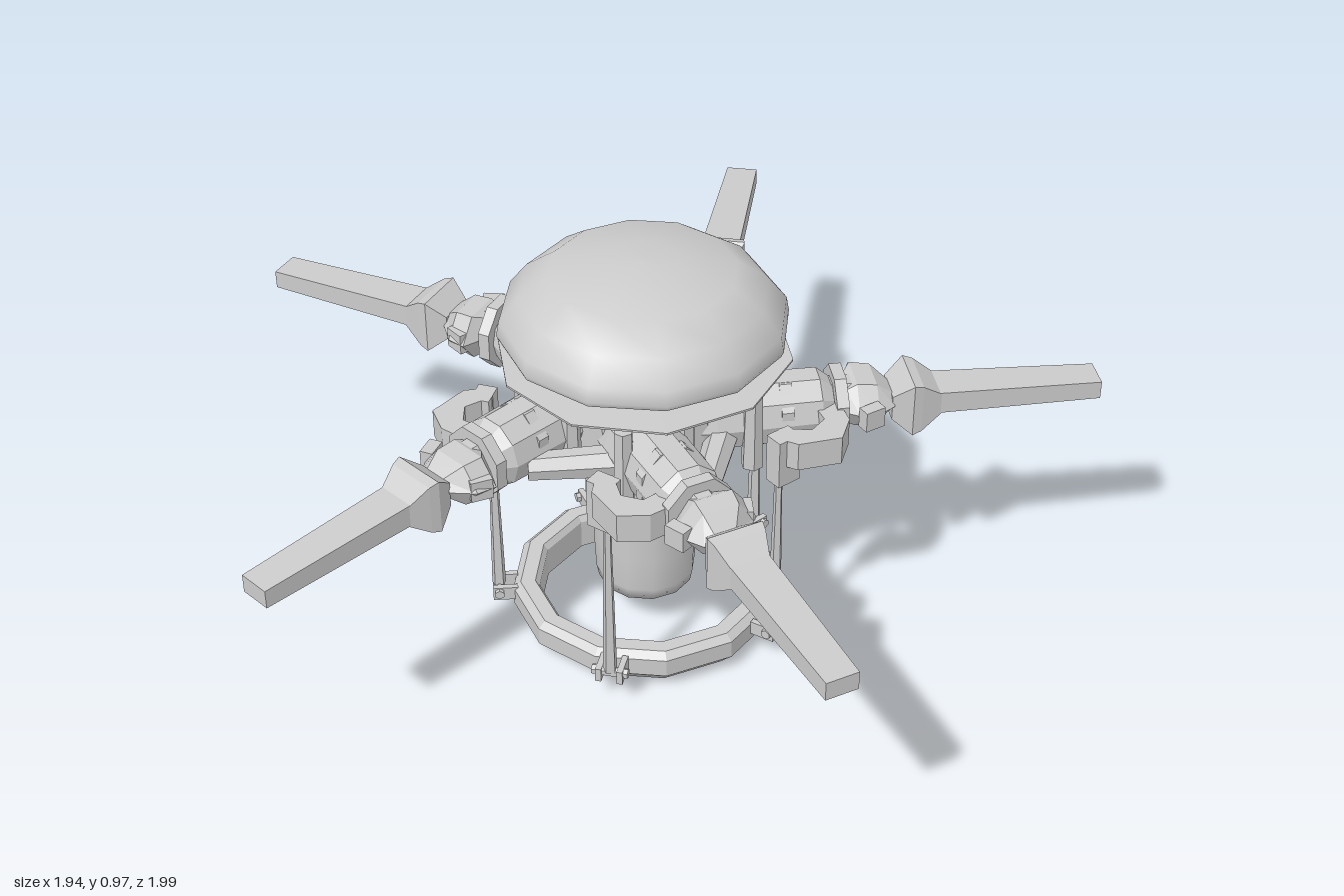
import * as THREE from 'three';

const flat = new THREE.MeshStandardMaterial({ color: 0xcccccc, flatShading: true });
const smooth = new THREE.MeshStandardMaterial({ color: 0xcccccc, side: THREE.DoubleSide });

function add(parent, name, geometry, x = 0, y = 0, z = 0, material = flat) {
  const mesh = new THREE.Mesh(geometry, material);
  mesh.name = name;
  mesh.position.set(x, y, z);
  parent.add(mesh);
  return mesh;
}

const lathe = (points, sides) =>
  new THREE.LatheGeometry(points.map(([r, y]) => new THREE.Vector2(r, y)), sides);

// Skins cross-sections [x, halfHeight, halfWidth, y, z] along x; four sides give a box, more an ellipse.
function loft(sections, sides = 4) {
  const k = sides === 4 ? Math.SQRT2 : 1;
  const rings = sections.map(([x, h, w, y = 0, z = 0]) =>
    Array.from({ length: sides }, (_, j) => {
      const a = ((j + 0.5) / sides) * Math.PI * 2;
      return [x, y + Math.cos(a) * h * k, z + Math.sin(a) * w * k];
    }));
  const pos = [];
  const tri = (...corners) => corners.forEach((c) => pos.push(...c));
  for (let i = 0; i < rings.length - 1; i++) {
    for (let j = 0; j < sides; j++) {
      const n = (j + 1) % sides;
      tri(rings[i][j], rings[i][n], rings[i + 1][n]);
      tri(rings[i][j], rings[i + 1][n], rings[i + 1][j]);
    }
  }
  const first = rings[0], last = rings[rings.length - 1];
  for (let j = 1; j < sides - 1; j++) {
    tri(first[0], first[j + 1], first[j]);
    tri(last[0], last[j], last[j + 1]);
  }
  const g = new THREE.BufferGeometry();
  g.setAttribute('position', new THREE.Float32BufferAttribute(pos, 3));
  g.computeVertexNormals();
  return g;
}

// Flat plate outlined in x and z, rising from y = 0
function plate(outline, height) {
  const shape = new THREE.Shape(outline.map(([x, z]) => new THREE.Vector2(x, -z)));
  return new THREE.ExtrudeGeometry(shape, { depth: height, bevelEnabled: false }).rotateX(-Math.PI / 2);
}

// One blade arm, running along +x and set off to the side of the mast
function bladeArm() {
  const arm = new THREE.Group();
  arm.name = 'bladeArm';
  const z = 0.085;

  add(arm, 'bladeSleeve', loft([
    [0.02, 0.07, 0.075], [0.14, 0.088, 0.085], [0.38, 0.085, 0.08], [0.41, 0.06, 0.06],
  ], 10), 0, 0.605, z);
  add(arm, 'sleeveNeck', loft([[0.38, 0.06, 0.05], [0.47, 0.055, 0.045]], 8), 0, 0.61, z);
  add(arm, 'bladeCuff', loft([
    [0.44, 0.05, 0.06], [0.465, 0.065, 0.09, 0, -0.015], [0.51, 0.06, 0.085, 0, -0.01], [0.55, 0.025, 0.05],
  ], 6), 0, 0.61, z);

  // Forked root and the stub of the blade
  add(arm, 'bladeRoot', loft([
    [0.545, 0.03, 0.045], [0.59, 0.066, 0.065], [0.612, 0.06, 0.06], [0.66, 0.026, 0.045],
  ]), 0, 0.602, z);
  add(arm, 'blade', loft([[0.64, 0.027, 0.046], [1.035, 0.022, 0.038, -0.012]]), 0, 0.605, z);

  // Clamp bands and bolts on the sleeve
  for (const x of [0.3, 0.425]) {
    add(arm, 'sleeveBand', loft([[x - 0.014, 0.088, 0.084], [x + 0.014, 0.088, 0.084]], 8), 0, 0.605, z);
  }
  for (const side of [-1, 1]) {
    add(arm, 'cuffLug', new THREE.BoxGeometry(0.05, 0.05, 0.03), 0.49, 0.61, z + side * 0.08)
      .rotation.y = side * 0.4;
    add(arm, 'hubBolt', new THREE.CylinderGeometry(0.022, 0.026, 0.2, 6), 0.22, 0.605, z + side * 0.075);
  }

  // Hooked pitch horn reaching over its control rod
  add(arm, 'pitchHorn', plate([
    [0.36, 0.12], [0.42, 0.13], [0.43, 0.2], [0.4, 0.265], [0.3, 0.275],
    [0.25, 0.24], [0.27, 0.21], [0.34, 0.225], [0.375, 0.19],
  ], 0.07), 0, 0.565, 0);
  add(arm, 'hornEnd', new THREE.BoxGeometry(0.06, 0.12, 0.045), 0.275, 0.575, 0.235).rotation.y = 0.5;

  // Damper bridging this arm and the hub
  const damper = add(arm, 'damper', new THREE.CylinderGeometry(0.032, 0.038, 0.2, 7), 0.26, 0.575, -0.04);
  damper.rotation.set(Math.PI / 2, 0, -0.9);
  return arm;
}

// Vertical control rod with its joint on the lower ring
function controlRod() {
  const rod = new THREE.Group();
  rod.name = 'controlRod';
  add(rod, 'rod', new THREE.CylinderGeometry(0.01, 0.017, 0.36, 5), 0.35, 0.265, 0);
  add(rod, 'rodLink', new THREE.CylinderGeometry(0.01, 0.01, 0.12, 5), 0.35, 0.5, 0);
  for (const side of [-1, 1]) {
    add(rod, 'ringLug', new THREE.BoxGeometry(0.06, 0.035, 0.014), 0.335, 0.075, side * 0.025);
  }
  add(rod, 'rodPin', new THREE.CylinderGeometry(0.012, 0.012, 0.085, 6), 0.35, 0.08, 0).rotation.x = Math.PI / 2;
  return rod;
}

export function createModel() {
  const model = new THREE.Group();
  model.name = 'rotorHead';
  const hub = new THREE.Group();
  hub.name = 'hub';
  hub.position.set(-0.065, 0, -0.03);
  model.add(hub);

  // Mast and central body
  add(hub, 'mast', lathe([
    [0, 0.1], [0.112, 0.1], [0.118, 0.13], [0.122, 0.22], [0.118, 0.3], [0.122, 0.31], [0.122, 0.54],
  ], 12), 0, 0, 0, smooth);
  add(hub, 'hubBody', lathe([
    [0, 0.51], [0.15, 0.51], [0.2, 0.54], [0.2, 0.66], [0.15, 0.7], [0.11, 0.705], [0.11, 0.76],
    [0.08, 0.762], [0.08, 0.787], [0, 0.787],
  ], 10));

  // Thin cover plate under the domed cap
  add(hub, 'coverPlate', lathe([
    [0.1, 0.725], [0.2, 0.727], [0.335, 0.738], [0.335, 0.743], [0.1, 0.745],
  ], 10));
  add(hub, 'domeCap', lathe([
    [0.322, 0.792], [0.328, 0.805], [0.322, 0.84], [0.28, 0.895], [0.21, 0.945], [0.08, 0.967], [0, 0.97],
  ], 12), 0, 0, 0, smooth);

  // Lower control ring
  add(hub, 'controlRing', lathe([
    [0.255, 0.012], [0.28, 0], [0.308, 0.03], [0.318, 0.04], [0.318, 0.085], [0.3, 0.1],
    [0.265, 0.1], [0.255, 0.085], [0.255, 0.012],
  ], 12));

  for (let i = 0; i < 5; i++) {
    const turn = (i * Math.PI * 2) / 5;
    const arm = bladeArm();
    arm.rotation.y = -turn;
    const rod = controlRod();
    rod.rotation.y = -turn - THREE.MathUtils.degToRad(40);
    hub.add(arm, rod);
  }
  return model;
}
